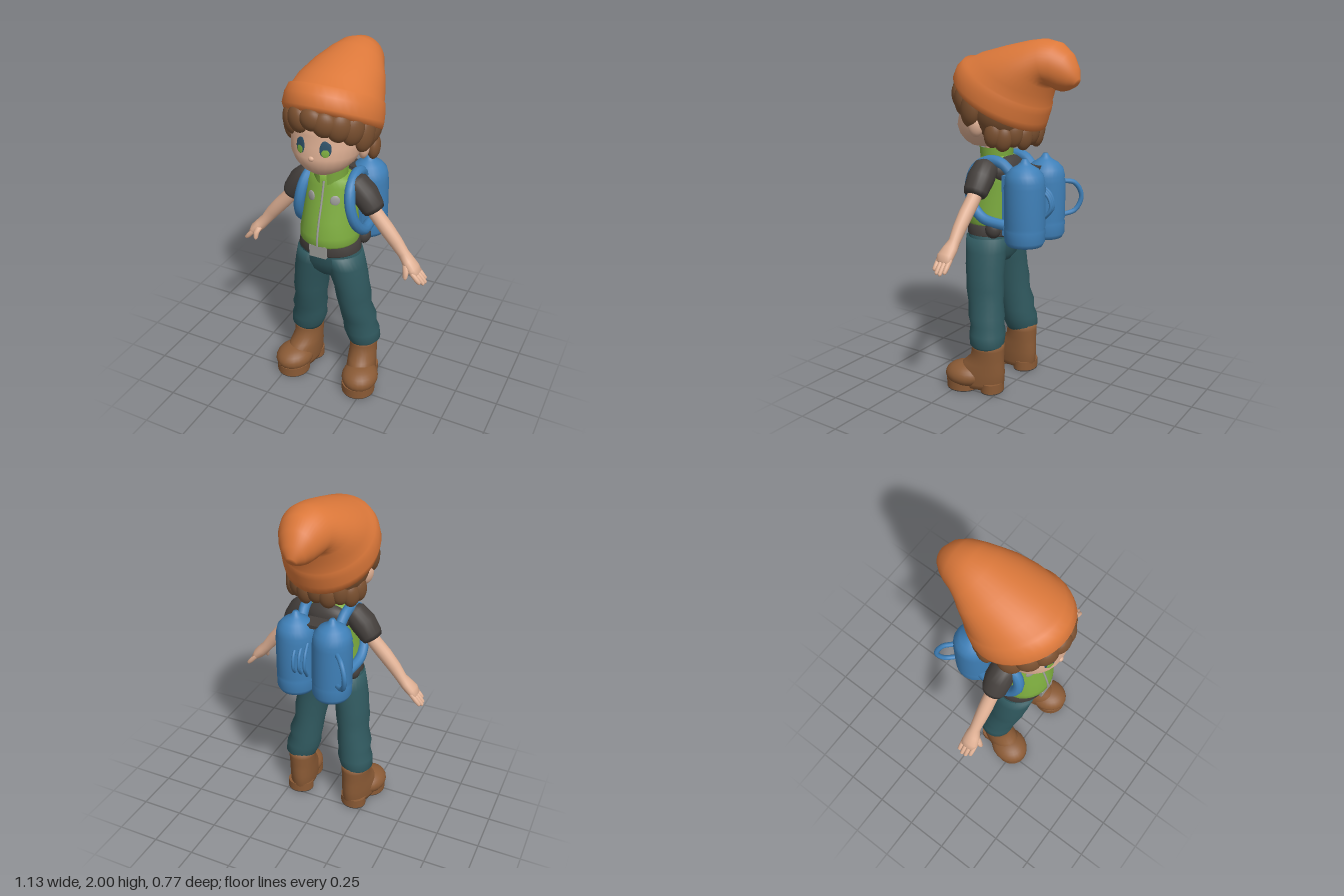
import * as THREE from 'three';

const V = (x, y, z) => new THREE.Vector3(x, y, z);
const paint = (name, color, side = THREE.FrontSide) => {
  const m = new THREE.MeshStandardMaterial({ color, side });
  m.name = name;
  return m;
};

// Closed skin through sections { c, u, v }: point = c + u cos(a) + v sin(a)
function loft(sections, n = 28) {
  const pos = [], idx = [], last = sections.length - 1;
  sections.forEach(({ c, u, v }) => {
    for (let j = 0; j < n; j++) {
      const a = (j / n) * Math.PI * 2;
      pos.push(...c.clone().addScaledVector(u, Math.cos(a)).addScaledVector(v, Math.sin(a)).toArray());
    }
  });
  pos.push(...sections[0].c.toArray(), ...sections[last].c.toArray());
  const base = (last + 1) * n;
  for (let j = 0; j < n; j++) {
    const k = (j + 1) % n;
    for (let i = 0; i < last; i++) {
      const a = i * n + j, b = i * n + k;
      idx.push(a, b, a + n, b, b + n, a + n);
    }
    idx.push(base, k, j, base + 1, last * n + j, last * n + k);
  }
  const g = new THREE.BufferGeometry();
  g.setAttribute('position', new THREE.Float32BufferAttribute(pos, 3));
  g.setIndex(idx);
  g.computeVertexNormals();
  return g;
}
// Level rings, bottom to top: [y, cx, cz, rx, rz]
const stack = (rows) => loft(rows.map(([y, cx, cz, rx, rz]) =>
  ({ c: V(cx, y, cz), u: V(0, 0, rz), v: V(rx, 0, 0) })));
// Limb in the xy plane: [x, y, z, thickness, depth]
const limb = (rows) => loft(rows.map(([x, y, z, r, rz], i) => {
  const p = rows[Math.max(i - 1, 0)], q = rows[Math.min(i + 1, rows.length - 1)];
  const d = V(q[0] - p[0], q[1] - p[1], 0).normalize();
  return { c: V(x, y, z), u: V(0, 0, rz), v: V(d.y * r, -d.x * r, 0) };
}), 18);
const place = (g, x, y, z, rx = 0, ry = 0, rz = 0) =>
  g.applyMatrix4(new THREE.Matrix4().makeRotationFromEuler(new THREE.Euler(rx, ry, rz))).translate(x, y, z);
const blob = (x, y, z, a, b, c, rx = 0, ry = 0, rz = 0) =>
  place(new THREE.SphereGeometry(1, 22, 16).scale(a, b, c), x, y, z, rx, ry, rz);
const box = (x, y, z, w, h, d) => new THREE.BoxGeometry(w, h, d).translate(x, y, z);
const tube = (pts, r) =>
  new THREE.TubeGeometry(new THREE.CatmullRomCurve3(pts.map((p) => V(...p))), 32, r, 10);

function mirrored(geo) {
  const g = geo.clone().scale(-1, 1, 1), ix = g.index.array;
  for (let i = 0; i < ix.length; i += 3) [ix[i], ix[i + 1]] = [ix[i + 1], ix[i]];
  return g;
}

export function createModel() {
  const root = new THREE.Group();
  root.name = 'hikerChild';
  const orange = paint('hatOrange', 0xdc783a), skin = paint('skin', 0xdfb094);
  const brown = paint('hairBrown', 0x7a5030), green = paint('vestGreen', 0x7cab3e, THREE.DoubleSide);
  const blue = paint('packBlue', 0x3f80b8), teal = paint('trouserTeal', 0x30595f);
  const leather = paint('bootLeather', 0x8a5a35), charcoal = paint('charcoal', 0x443f3c);
  const grey = paint('metalGrey', 0x9c9c98), iris = paint('eyeBlue', 0x2c4f66);

  const add = (name, geo, mat) => {
    const m = new THREE.Mesh(geo, mat);
    m.name = name;
    root.add(m);
  };
  const pair = (name, geo, mat) => {
    add(name + 'Left', geo, mat);
    add(name + 'Right', mirrored(geo), mat);
  };

  // Boots, turned slightly outward
  const turn = (g) => g.rotateY(0.2).translate(0.182, 0, 0.08);
  pair('boot', turn(stack([[0.02, 0, 0.06, 0.075, 0.14], [0.05, 0, 0.06, 0.085, 0.155], [0.12, 0, 0.05, 0.085, 0.15],
    [0.17, 0, 0.025, 0.083, 0.12], [0.21, 0, 0.005, 0.08, 0.1], [0.26, 0, 0, 0.083, 0.096], [0.295, 0, 0, 0.085, 0.096]])), leather);
  pair('bootToe', turn(blob(0.01, 0.085, 0.135, 0.107, 0.075, 0.125)), leather);
  const tread = (z, rx, rz, y, h) => turn(new THREE.CylinderGeometry(1, 1, h, 24).scale(rx, 1, rz).translate(0.005, y, z));
  for (const [part, z, rx, rz] of [['heel', -0.025, 0.08, 0.068], ['sole', 0.155, 0.098, 0.1]]) {
    pair(part, tread(z, rx, rz, 0.033, 0.054), leather);
    pair(part + 'Tread', tread(z, rx * 0.98, rz * 0.98, 0.003, 0.006), charcoal);
  }

  // Trousers with gathered folds
  pair('trouserLeg', stack([[0.265, 0.18, 0.085, 0.08, 0.085], [0.29, 0.185, 0.085, 0.097, 0.1], [0.35, 0.172, 0.09, 0.105, 0.105],
    [0.4, 0.162, 0.097, 0.096, 0.098], [0.45, 0.16, 0.103, 0.102, 0.106], [0.53, 0.143, 0.12, 0.091, 0.106],
    [0.61, 0.136, 0.128, 0.1, 0.113], [0.68, 0.127, 0.135, 0.098, 0.113], [0.74, 0.115, 0.14, 0.104, 0.118],
    [0.82, 0.1, 0.145, 0.104, 0.121], [0.9, 0.085, 0.15, 0.1, 0.125]]), teal);
  add('hips', stack([[0.75, 0, 0.14, 0.08, 0.08], [0.79, 0, 0.142, 0.17, 0.11], [0.85, 0, 0.147, 0.195, 0.128],
    [0.91, 0, 0.15, 0.18, 0.135], [0.95, 0, 0.15, 0.165, 0.135]]), teal);

  // Belt, buckle and pouches
  add('belt', stack([[0.91, 0, 0.15, 0.17, 0.138], [0.92, 0, 0.15, 0.18, 0.145], [0.97, 0, 0.15, 0.17, 0.147], [0.98, 0, 0.15, 0.155, 0.14]]), charcoal);
  add('buckle', box(0, 0.948, 0.295, 0.1, 0.072, 0.02), grey);
  pair('pouch', blob(0.16, 0.965, 0.055, 0.04, 0.05, 0.045), charcoal);

  // Vest, zip, badges and collar
  const vest = [[0.965, 0, 0.152, 0.155, 0.142], [0.985, 0, 0.154, 0.166, 0.154], [1.03, 0, 0.152, 0.166, 0.154], [1.12, 0, 0.142, 0.153, 0.142],
    [1.22, 0, 0.125, 0.15, 0.125], [1.3, 0, 0.115, 0.148, 0.113], [1.34, 0, 0.118, 0.125, 0.1], [1.365, 0, 0.125, 0.08, 0.08]];
  add('vest', stack(vest), green);
  add('zip', tube(vest.slice(1, 7).map(([y, , cz, , rz]) => [0, y, cz + rz]), 0.006), grey);
  pair('badge', blob(0.07, 1.24, 0.228, 0.027, 0.03, 0.008, -0.1, 0.45), grey);
  add('collar', new THREE.CylinderGeometry(0.096, 0.09, 0.085, 28, 2, true, 0.22, Math.PI * 2 - 0.44)
    .translate(0, 1.365, 0.135), green);
  add('backYoke', blob(0, 1.28, 0.06, 0.135, 0.085, 0.07), charcoal);
  add('neck', new THREE.CylinderGeometry(0.062, 0.066, 0.16, 20).translate(0, 1.37, 0.14), skin);

  // Sleeves, arms and hands
  pair('sleeve', limb([[0.1, 1.325, 0.11, 0.035, 0.05], [0.14, 1.305, 0.11, 0.067, 0.072], [0.19, 1.255, 0.112, 0.073, 0.078],
    [0.235, 1.19, 0.115, 0.064, 0.07], [0.248, 1.17, 0.115, 0.056, 0.06]]), charcoal);
  pair('arm', limb([[0.2, 1.23, 0.115, 0.04, 0.042], [0.26, 1.148, 0.116, 0.04, 0.04], [0.32, 1.082, 0.12, 0.041, 0.04],
    [0.38, 1.012, 0.122, 0.038, 0.036], [0.425, 0.953, 0.122, 0.032, 0.031], [0.455, 0.918, 0.128, 0.034, 0.043],
    [0.49, 0.882, 0.135, 0.033, 0.05], [0.515, 0.855, 0.132, 0.02, 0.044]]), skin);
  for (let i = 0; i < 4; i++) {
    const z = 0.098 + i * 0.024, reach = [0.035, 0.045, 0.042, 0.028][i];
    pair('finger', limb([[0.495, 0.873, z, 0.014, 0.014], [0.515 + reach * 0.4, 0.845 - reach * 0.3, z, 0.014, 0.013],
      [0.513 + reach, 0.85 - reach, z, 0.011, 0.011], [0.514 + reach, 0.842 - reach, z, 0.004, 0.004]]), skin);
  }
  pair('thumb', limb([[0.455, 0.91, 0.155, 0.018, 0.018], [0.465, 0.88, 0.178, 0.017, 0.016], [0.466, 0.848, 0.188, 0.013, 0.012],
    [0.466, 0.835, 0.19, 0.005, 0.005]]), skin);

  // Head, ears and eyes
  add('head', stack([[1.4, 0, 0.21, 0.03, 0.03], [1.41, 0, 0.205, 0.075, 0.085], [1.435, 0, 0.2, 0.118, 0.122], [1.475, 0, 0.19, 0.16, 0.157],
    [1.525, 0, 0.185, 0.185, 0.173], [1.58, 0, 0.175, 0.192, 0.166], [1.64, 0, 0.17, 0.196, 0.168], [1.72, 0, 0.16, 0.19, 0.165]]), skin);
  add('nose', blob(0, 1.525, 0.353, 0.016, 0.014, 0.012), skin);
  pair('ear', blob(0.193, 1.535, 0.14, 0.028, 0.056, 0.042, 0, 0.4, -0.15), skin);
  pair('eye', blob(0.07, 1.58, 0.331, 0.03, 0.046, 0.0045, -0.14, 0.38), iris);
  pair('eyeGlow', blob(0.071, 1.562, 0.3355, 0.021, 0.024, 0.0035, -0.14, 0.38), green);

  // Hair: rounded mass, fringe and nape locks
  add('hair', blob(0, 1.605, 0.04, 0.235, 0.185, 0.19), brown);
  const fringe = [[-68, 1.63, 0.095], [-46, 1.68, 0.08], [-24, 1.712, 0.073], [0, 1.732, 0.062], [17, 1.712, 0.07],
    [36, 1.692, 0.078], [54, 1.67, 0.085], [72, 1.625, 0.095]];
  for (const [deg, y, h] of fringe) {
    const a = (deg * Math.PI) / 180;
    add('fringeLock', blob(Math.sin(a) * 0.215, y, 0.09 + Math.cos(a) * 0.25, 0.064, h, 0.045, 0.1, a, -0.25 * Math.sin(a)), brown);
  }
  for (let i = 0; i < 9; i++) {
    const a = Math.PI * (0.56 + i * 0.11);
    add('napeLock', blob(Math.sin(a) * 0.2, 1.5 - (i % 2) * 0.02, 0.055 + Math.cos(a) * 0.155, 0.05, 0.07, 0.036, -0.15, a), brown);
  }

  // Slouching hat: front z, y, back z, y, half width
  const hatRows = [[0.33, 1.765, -0.125, 1.52, 0.235], [0.352, 1.775, -0.147, 1.512, 0.255], [0.366, 1.812, -0.16, 1.55, 0.263],
    [0.34, 1.865, -0.178, 1.6, 0.259], [0.298, 1.9, -0.187, 1.635, 0.249], [0.272, 1.893, -0.183, 1.645, 0.24],
    [0.2, 1.924, -0.198, 1.695, 0.228], [0.04, 1.963, -0.213, 1.742, 0.198], [-0.09, 1.99, -0.222, 1.757, 0.165],
    [-0.18, 2, -0.238, 1.75, 0.142], [-0.265, 1.982, -0.262, 1.735, 0.122], [-0.33, 1.93, -0.288, 1.73, 0.096],
    [-0.369, 1.86, -0.322, 1.738, 0.064], [-0.383, 1.8, -0.355, 1.755, 0.028]];
  add('hat', loft(hatRows.map(([fz, fy, bz, by, w]) =>
    ({ c: V(0, (fy + by) / 2, (fz + bz) / 2), u: V(0, (fy - by) / 2, (fz - bz) / 2), v: V(w, 0, 0) })), 40), orange);

  // Twin-pod backpack with straps, cords and carry loop
  const pod = [[0.888, 0.075], [0.895, 0.1], [0.92, 0.113], [0.985, 0.115], [0.995, 0.109], [1.005, 0.115], [1.22, 0.115],
    [1.235, 0.109], [1.25, 0.112], [1.29, 0.102], [1.32, 0.075], [1.34, 0.04], [1.355, 0.024], [1.372, 0.014]];
  pair('packPod', stack(pod.map(([y, r]) => [y, 0.108, -0.12, r * 0.97, r])), blue);
  add('packPanel', box(0, 1.1, -0.02, 0.26, 0.34, 0.07), blue);
  add('packFlap', box(0, 1.305, -0.09, 0.13, 0.02, 0.1), charcoal);
  pair('strap', tube([[0.11, 1.27, -0.05], [0.12, 1.335, 0.02], [0.125, 1.345, 0.1], [0.135, 1.3, 0.18], [0.15, 1.21, 0.212],
    [0.168, 1.11, 0.19], [0.18, 1.03, 0.11], [0.16, 1.0, -0.03]], 0.03), blue);
  add('carryLoop', tube([[-0.16, 1.215, -0.19], [-0.215, 1.2, -0.25], [-0.248, 1.12, -0.277], [-0.225, 1.04, -0.25],
    [-0.16, 1.015, -0.19]], 0.014), blue);
  for (let i = 0; i < 3; i++) {
    const x = 0.015 + i * 0.03;
    add('packCord', tube([[x, 1.22, -0.17], [x - 0.01, 1.17, -0.225 - i * 0.008], [x - 0.012, 1.1, -0.238 - i * 0.008],
      [x, 1.02, -0.18]], 0.009), blue);
  }
  return root;
}
